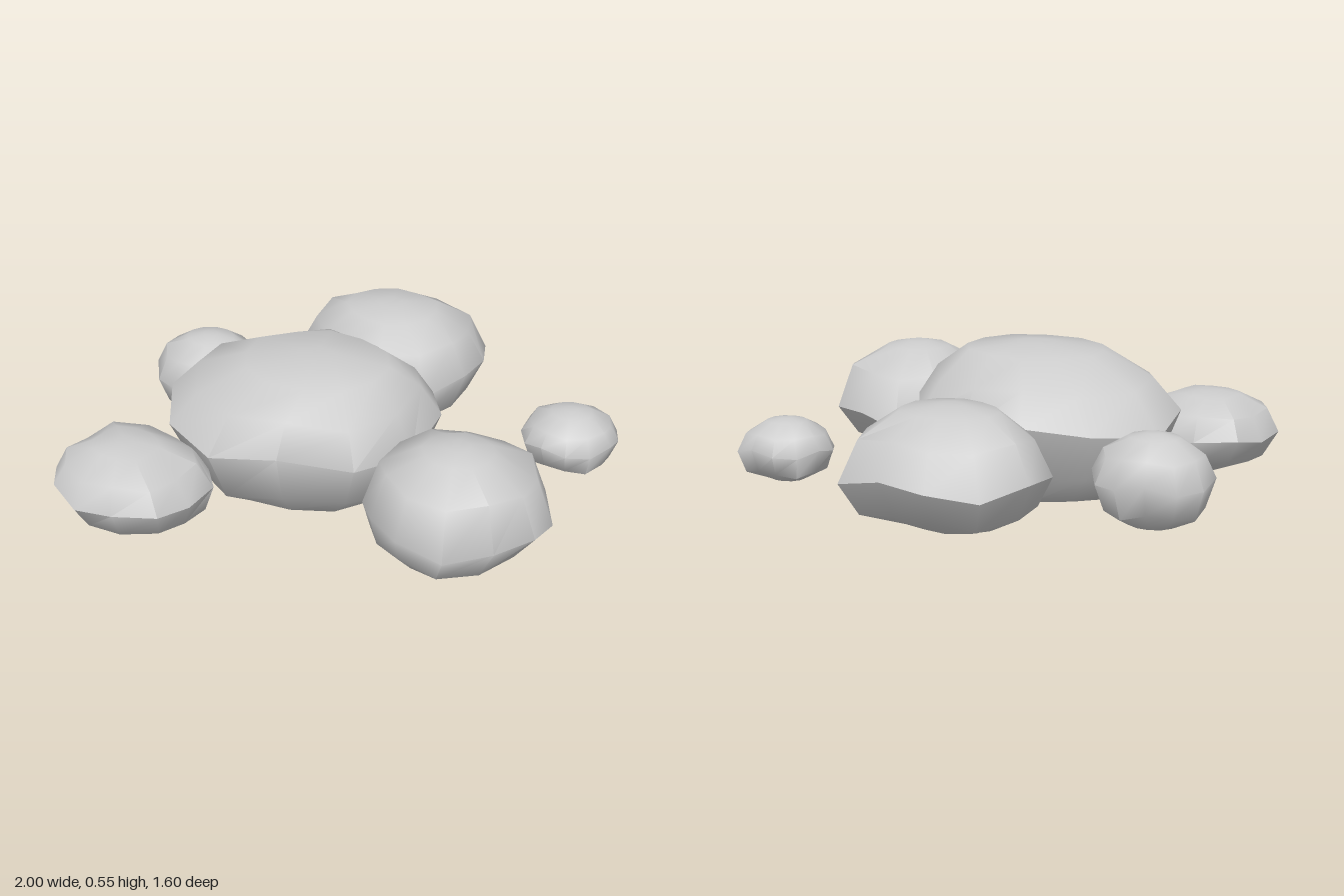
import * as THREE from 'three';
import { toCreasedNormals } from 'three/addons/utils/BufferGeometryUtils.js';

const material = new THREE.MeshStandardMaterial({ color: 0xcccccc });
const SIDES = 12;

// Each boulder: centre and half size on the ground plane, underside and top
// heights, widths of foot and crown, height fraction of the waist, optional
// x,z shifts of foot and crown, and any sides pushed in or out.
const boulders = [
  {
    name: 'mainBoulder', x: -0.155, z: 0.13, rx: 0.515, rz: 0.425, base: 0, top: 0.55,
    foot: 0.6, waist: 0.54, crown: 0.52, crownShift: [0.06, 0.04],
    corners: { 2: 0.95, 4: 0.95, 5: 1.06, 7: 1.03, 8: 1.03, 10: 1.05 },
  },
  {
    name: 'backBoulder', x: 0.055, z: -0.48, rx: 0.375, rz: 0.32, base: 0, top: 0.45,
    foot: 0.45, waist: 0.47, crown: 0.48, footShift: [0, 0.07], crownShift: [0, 0.02],
    corners: { 1: 1.1, 2: 0.94, 5: 1.03, 7: 0.92, 8: 0.9 },
  },
  {
    name: 'frontLeftBoulder', x: 0.48, z: 0.49, rx: 0.34, rz: 0.31, base: 0, top: 0.45,
    foot: 0.44, waist: 0.4, crown: 0.38, footShift: [-0.06, 0.03], crownShift: [0, 0.02],
    corners: { 2: 0.93, 4: 0.95, 5: 0.94, 7: 0.95 },
  },
  {
    name: 'frontRightBoulder', x: -0.7, z: 0.525, rx: 0.3, rz: 0.255, base: 0.01, top: 0.315,
    foot: 0.45, waist: 0.49, crown: 0.42, footShift: [0.03, 0], crownShift: [-0.02, 0],
    corners: { 1: 0.93, 2: 0.93, 4: 1.14, 5: 0.95, 10: 1.13, 11: 0.94 },
  },
  {
    name: 'backRightPebble', x: -0.635, z: -0.255, rx: 0.225, rz: 0.185, base: 0, top: 0.34,
    foot: 0.4, waist: 0.5, crown: 0.42,
  },
  {
    name: 'leftPebble', x: 0.815, z: -0.12, rx: 0.185, rz: 0.16, base: 0.02, top: 0.26,
    foot: 0.36, waist: 0.52, crown: 0.42, corners: { 1: 1.08 },
  },
];

// Stacks faceted rings from a small flat underside to a shallow crown.
function boulderGeometry(boulder, seed) {
  const { x, z, rx, rz, base, top, foot, waist, crown } = boulder;
  const { footShift = [0, 0], crownShift = [0, 0], corners = {} } = boulder;
  const height = top - base;
  // Height fraction, width, unevenness, share of foot shift, share of crown shift
  const rings = [
    [0, foot, 0, 1, 0],
    [0.18, 0.84, 0.05, 0.4, 0],
    [waist, 1, 0.06, 0, 0],
    [0.78, 0.82, 0.03, 0, 0.3],
    [0.96, crown, 0, 0, 1],
    [1, 0.13, 0, 0, 1],
  ];
  const last = rings.length - 1;
  const positions = [];
  const index = [];

  rings.forEach(([rise, width, sway, low, high], level) => {
    const cx = x + footShift[0] * low + crownShift[0] * high;
    const cz = z + footShift[1] * low + crownShift[1] * high;
    for (let j = 0; j < SIDES; j++) {
      const angle = (j / SIDES) * Math.PI * 2;
      const radius = width * (corners[j] ?? 1);
      const tilt = sway * Math.sin(j * 2.1 + seed * 1.7 + level * 0.6);
      positions.push(
        cx + rx * radius * Math.cos(angle),
        base + height * (rise + tilt),
        cz - rz * radius * Math.sin(angle),
      );
    }
  });
  const bottom = positions.length / 3;
  positions.push(x + footShift[0], base, z + footShift[1]);
  positions.push(x + crownShift[0], top, z + crownShift[1]);

  for (let j = 0; j < SIDES; j++) {
    const k = (j + 1) % SIDES;
    for (let level = 0; level < last; level++) {
      const low = level * SIDES;
      const high = low + SIDES;
      index.push(low + j, low + k, high + k, low + j, high + k, high + j);
    }
    index.push(k, j, bottom);
    index.push(last * SIDES + j, last * SIDES + k, bottom + 1);
  }

  const geometry = new THREE.BufferGeometry();
  geometry.setAttribute('position', new THREE.Float32BufferAttribute(positions, 3));
  geometry.setIndex(index);
  return toCreasedNormals(geometry, 0.85);
}

export function createModel() {
  const group = new THREE.Group();
  group.name = 'boulderCluster';
  boulders.forEach((boulder, i) => {
    const mesh = new THREE.Mesh(boulderGeometry(boulder, i), material);
    mesh.name = boulder.name;
    group.add(mesh);
  });
  return group;
}
